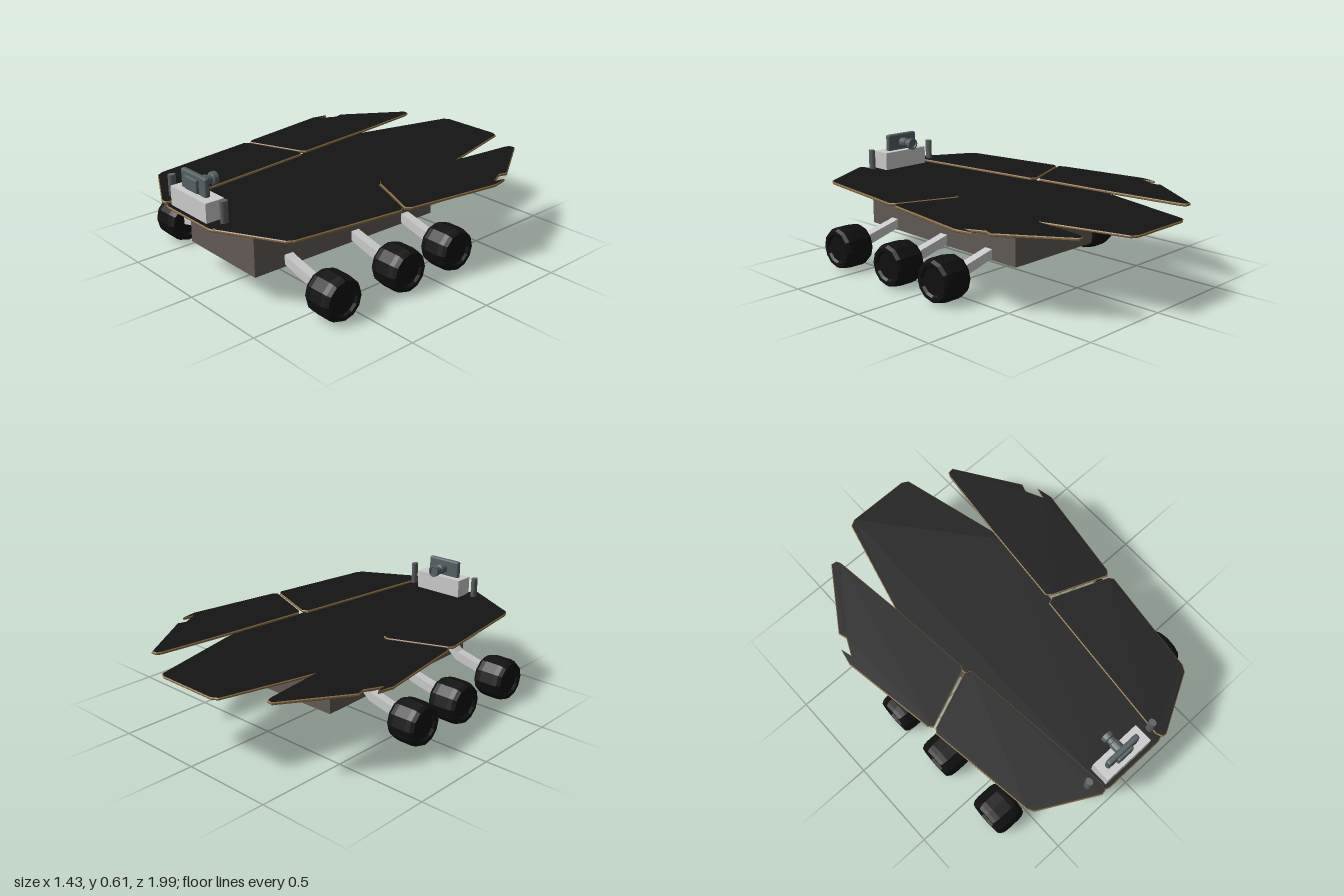
import * as THREE from 'three';
import { RoundedBoxGeometry } from 'three/addons/geometries/RoundedBoxGeometry.js';

const mat = (color, flatShading = true) => new THREE.MeshStandardMaterial({ color, flatShading });
const grey = mat(0xcccccc);
const hullMat = mat(0x625a55);
const panelMat = mat(0x141414);
const trimMat = mat(0x8a6c40);
const tyreMat = mat(0x101010);
const slate = mat(0x556063, false);
const postMat = mat(0x5c6060, false);

function add(parent, name, geometry, material, x = 0, y = 0, z = 0) {
  const mesh = new THREE.Mesh(geometry, material);
  mesh.name = name;
  mesh.position.set(x, y, z);
  parent.add(mesh);
  return mesh;
}

// Flat panel from an (x, z) outline, with a bevelled trim edge
function panel(parent, name, points, bottom, thickness, side = 1) {
  const b = 0.004;
  const shape = new THREE.Shape(points.map(([x, z]) => new THREE.Vector2(x * side, -z)));
  const geo = new THREE.ExtrudeGeometry(shape, {
    depth: thickness - 2 * b, bevelThickness: b, bevelSize: b, bevelOffset: -b, bevelSegments: 1,
  });
  geo.rotateX(-Math.PI / 2);
  add(parent, name, geo, [panelMat, trimMat], 0, bottom + b, 0);
}

export function createModel() {
  const model = new THREE.Group();
  model.name = 'solarRover';

  // Hull, slightly narrower at the front
  const hull = new THREE.BoxGeometry(0.59, 0.265, 1.16);
  const p = hull.attributes.position;
  for (let i = 0; i < p.count; i++) if (p.getZ(i) > 0) p.setX(i, p.getX(i) * 0.9);
  hull.computeVertexNormals();
  add(model, 'hull', hull, hullMat, 0, 0.2775, 0.23);

  // Solar deck: one long centre panel under two pairs of wings
  const half = [[0.17, 0.99], [0.2, 0.98], [0.355, -0.36], [0.34, -0.45], [0.205, -0.98], [0.17, -1]];
  const mirrored = half.map(([x, z]) => [-x, z]).reverse();
  panel(model, 'centrePanel', [...half, ...mirrored], 0.408, 0.013);
  const frontWing = [
    [0.275, 0.08], [0.31, 0.065], [0.61, 0.185], [0.628, 0.21], [0.55, 0.79],
    [0.53, 0.825], [0.225, 0.99], [0.2, 0.985], [0.187, 0.95],
  ];
  const rearWing = [
    [0.295, 0.03], [0.34, -0.44], [0.388, -0.84], [0.4, -0.865], [0.432, -0.87],
    [0.652, -0.535], [0.638, -0.49], [0.68, -0.4], [0.697, -0.46], [0.717, -0.37],
    [0.637, 0.15], [0.615, 0.175], [0.32, 0.055],
  ];
  for (const side of [1, -1]) {
    const label = side > 0 ? 'left' : 'right';
    panel(model, label + 'FrontWing', frontWing, 0.42, 0.015, side);
    panel(model, label + 'RearWing', rearWing, 0.42, 0.015, side);
  }

  // Wheels: faceted tyres with a shallow recessed face
  const tyreProfile = [
    [0, -0.07], [0.07, -0.07], [0.08, -0.083], [0.1, -0.083], [0.111, -0.065], [0.115, -0.04],
    [0.115, 0.04], [0.111, 0.065], [0.1, 0.083], [0.08, 0.083], [0.07, 0.07], [0, 0.07],
  ].map(([r, y]) => new THREE.Vector2(r, y));
  const wheelGeo = new THREE.LatheGeometry(tyreProfile, 12).rotateZ(-Math.PI / 2);

  // Suspension arms: one outline per side, given in (x, y)
  const arms = {
    left: [[0.25, 0.165], [0.3, 0.15], [0.485, 0.1], [0.507, 0.15], [0.3, 0.2], [0.25, 0.215]],
    right: [[-0.29, 0.255], [-0.355, 0.2], [-0.55, 0.155], [-0.55, 0.105], [-0.345, 0.153], [-0.275, 0.21]],
  };
  const axles = { left: [0.61, 0.19, -0.155], right: [0.655, 0.25, -0.085] };
  const wheelX = { left: 0.595, right: -0.612 };
  for (const side of ['left', 'right']) {
    const shape = new THREE.Shape(arms[side].map(([x, y]) => new THREE.Vector2(x, y)));
    const armGeo = new THREE.ExtrudeGeometry(shape, { depth: 0.05, bevelEnabled: false });
    armGeo.translate(0, 0, -0.025);
    // Stub axle closes the gap between arm and wheel
    const axleGeo = new THREE.CylinderGeometry(0.015, 0.015, 0.06, 8).rotateZ(Math.PI / 2);
    axles[side].forEach((z, i) => {
      const n = ['Front', 'Middle', 'Rear'][i];
      add(model, side + n + 'Arm', armGeo, grey, 0, 0, z);
      add(model, side + n + 'Axle', axleGeo, grey, Math.sign(wheelX[side]) * 0.51, 0.122, z);
      add(model, side + n + 'Wheel', wheelGeo, tyreMat, wheelX[side], 0.117, z);
    });
  }

  // Instrument box with a camera on top, its lens facing back
  add(model, 'instrumentBox', new THREE.BoxGeometry(0.295, 0.104, 0.105), grey, -0.028, 0.469, 0.913);
  const camera = new THREE.Group();
  camera.name = 'camera';
  camera.position.set(-0.035, 0.562, 0);
  model.add(camera);
  add(camera, 'cameraBody', new RoundedBoxGeometry(0.205, 0.1, 0.03, 2, 0.01), slate, 0, 0.003, 0.913);
  add(camera, 'cameraBack', new RoundedBoxGeometry(0.1, 0.07, 0.02, 2, 0.008), slate, 0, 0, 0.934);
  const lens = [
    [0, 0], [0.028, 0], [0.028, 0.05], [0.022, 0.055], [0.022, 0.075],
    [0.032, 0.08], [0.032, 0.105], [0.024, 0.105], [0.022, 0.095], [0, 0.095],
  ].map(([r, y]) => new THREE.Vector2(r, y));
  add(camera, 'cameraLens', new THREE.LatheGeometry(lens, 16).rotateX(-Math.PI / 2), mat(0x556063), 0, 0, 0.905);

  // Two oval posts beside the instrument box
  const postGeo = new THREE.CylinderGeometry(0.016, 0.016, 0.12, 16).scale(1, 1, 1.3);
  add(model, 'rightPost', postGeo, postMat, -0.25, 0.483, 0.91);
  add(model, 'leftPost', postGeo, postMat, 0.185, 0.483, 0.91);

  return model;
}
